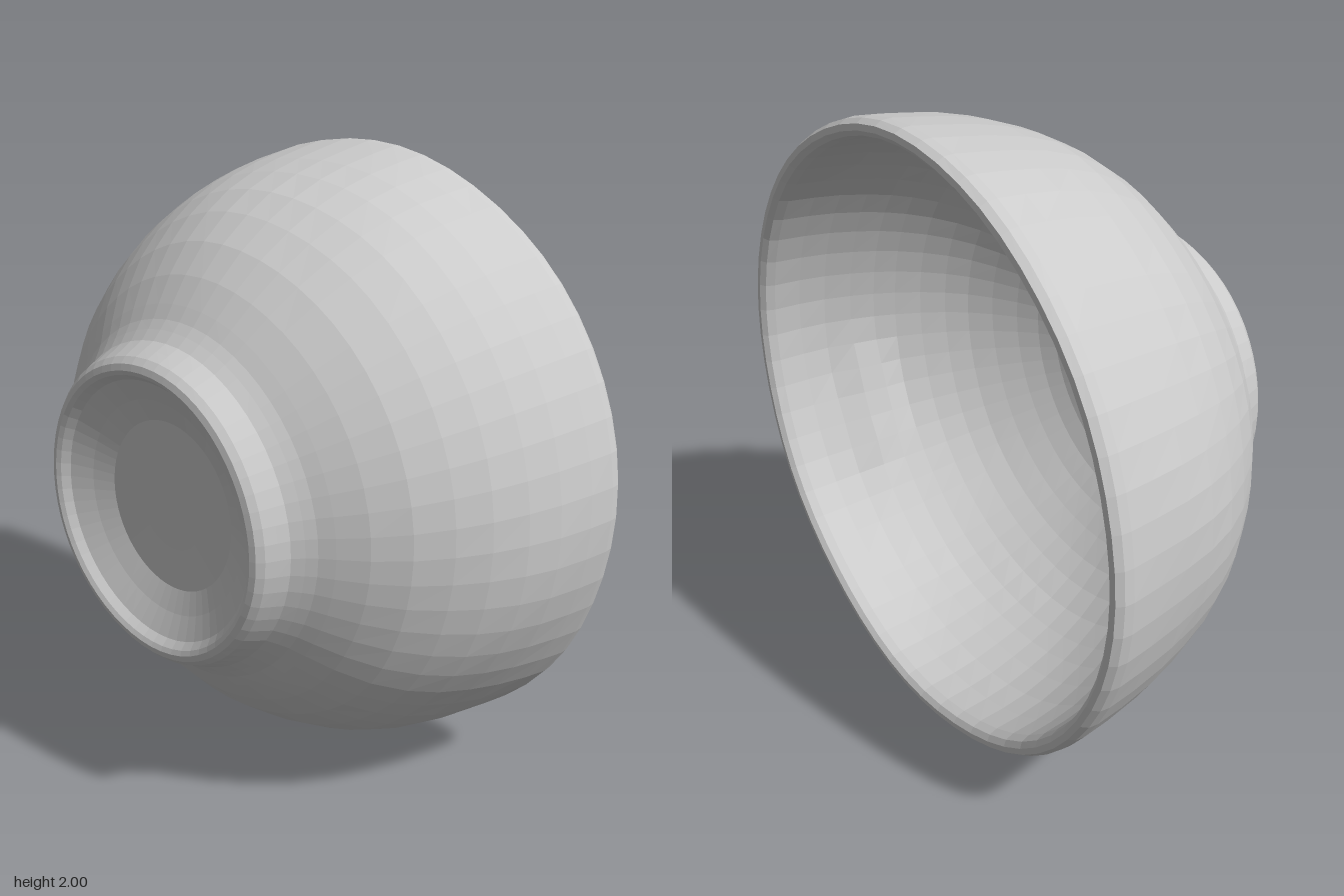
import * as THREE from 'three';

const SIDES = 60;
const material = new THREE.MeshStandardMaterial({ color: 0xcccccc, flatShading: true, side: THREE.DoubleSide });

// Slight hand-made unevenness, continuous around the bowl
const wobble = (x, y, z) => 0.002 * (Math.sin(9 * x + 7 * y) + Math.sin(8 * z - 11 * y + 5 * x));

// Long shallow ledges on the inner side walls: centre, half width, half length, depth
const ledges = [
  { x: -0.6, y: 0.3, z: 0.16, width: 0.17, length: 0.38, depth: 0.04 },
  { x: 0.82, y: 0.68, z: -0.34, width: 0.11, length: 0.3, depth: 0.025 },
];

// Revolve a profile of [radius, height] pairs, roughen it, then lay it on its side
function turned(name, profile, inside = false) {
  const geometry = new THREE.LatheGeometry(profile.map(([r, h]) => new THREE.Vector2(r, h)), SIDES);
  const p = geometry.attributes.position;
  for (let i = 0; i < p.count; i++) {
    const x = p.getX(i), y = p.getY(i), z = p.getZ(i);
    const r = Math.hypot(x, z);
    let offset = wobble(x, y, z);
    if (inside) {
      for (const l of ledges) {
        const d2 = ((x - l.x) ** 2 + (y - l.y) ** 2) / l.width ** 2 + ((z - l.z) / l.length) ** 2;
        offset -= l.depth * Math.exp(-(d2 ** 3));
      }
    }
    const k = r > 0.01 ? (r + offset) / r : 1;
    p.setXYZ(i, x * k, y, z * k);
  }
  geometry.rotateX(-Math.PI / 2);
  geometry.computeVertexNormals();
  const mesh = new THREE.Mesh(geometry, material);
  mesh.name = name;
  return mesh;
}

export function createModel() {
  const bowl = new THREE.Group();
  bowl.name = 'bowl';

  // Hollow underside inside the foot ring
  bowl.add(turned('footUnderside', [[0, 0.092], [0.14, 0.092], [0.27, 0.088], [0.34, 0.06], [0.41, 0.025], [0.43, 0.002]]));

  // Foot ring flaring into the body
  bowl.add(turned('footRing', [
    [0.43, 0.002], [0.445, -0.006], [0.465, 0], [0.483, 0.02], [0.498, 0.055], [0.513, 0.09], [0.54, 0.12], [0.565, 0.145],
  ]));

  // Rounded outer wall
  bowl.add(turned('outerWall', [
    [0.565, 0.145], [0.605, 0.175], [0.68, 0.235], [0.765, 0.32], [0.838, 0.42], [0.893, 0.52],
    [0.935, 0.63], [0.964, 0.74], [0.985, 0.86], [0.997, 0.95],
  ]));

  // Thick rounded lip
  bowl.add(turned('rim', [[0.997, 0.95], [0.995, 0.98], [0.982, 1.002], [0.962, 1.004], [0.945, 0.99], [0.936, 0.96]]));

  // Inner wall down to a groove around the raised floor
  bowl.add(turned('innerWall', [
    [0.936, 0.96], [0.928, 0.87], [0.915, 0.78], [0.893, 0.69], [0.868, 0.61], [0.838, 0.54], [0.795, 0.46],
    [0.744, 0.385], [0.69, 0.32], [0.625, 0.258], [0.555, 0.2], [0.49, 0.155], [0.43, 0.125], [0.37, 0.107],
  ], true));

  // Raised floor disc above the hollow foot
  bowl.add(turned('floor', [[0.37, 0.107], [0.34, 0.115], [0.3, 0.142], [0.26, 0.154], [0.14, 0.157], [0, 0.157]]));

  // Bowl lies on its edge, opening to the back and turned slightly
  bowl.rotation.y = -0.062;
  bowl.position.set(-0.063, 1.003, 0.515);

  const model = new THREE.Group();
  model.name = 'model';
  model.add(bowl);
  return model;
}
